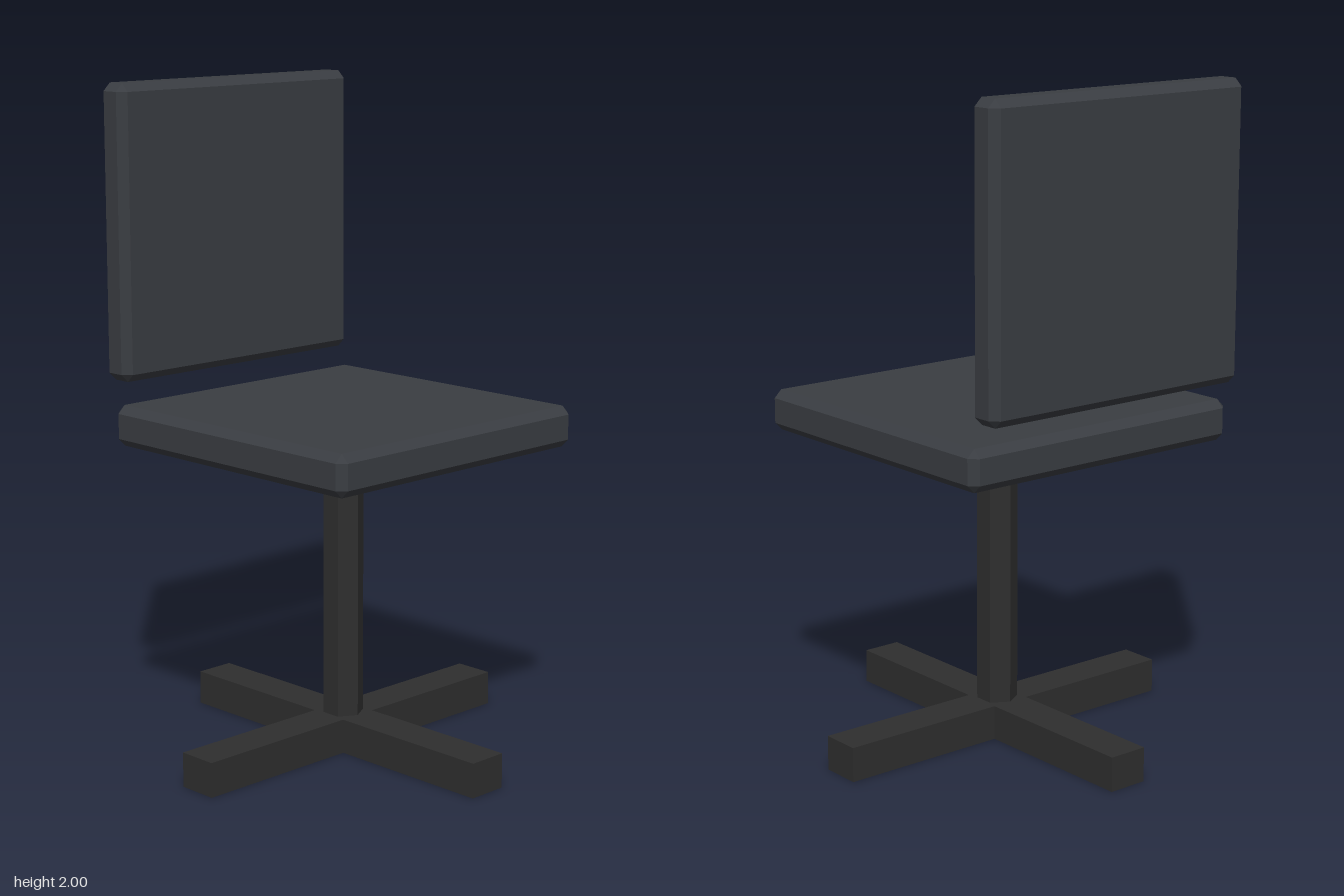
import * as THREE from 'three';
import { ConvexGeometry } from 'three/addons/geometries/ConvexGeometry.js';

// Box with every edge and corner cut flat by a chamfer c
function chamferBox(w, h, d, c) {
  const points = [];
  for (const sx of [-1, 1]) for (const sy of [-1, 1]) for (const sz of [-1, 1]) {
    for (let axis = 0; axis < 3; axis++) {
      const p = [w / 2 - c, h / 2 - c, d / 2 - c];
      p[axis] += c;
      points.push(new THREE.Vector3(sx * p[0], sy * p[1], sz * p[2]));
    }
  }
  return new ConvexGeometry(points);
}

export function createModel() {
  const group = new THREE.Group();
  const padMaterial = new THREE.MeshStandardMaterial({ color: 0x3a3d42, flatShading: true });
  const frameMaterial = new THREE.MeshStandardMaterial({ color: 0x2e2e2e, flatShading: true });

  const add = (name, geometry, material, x, y, z) => {
    const mesh = new THREE.Mesh(geometry, material);
    mesh.name = name;
    mesh.position.set(x, y, z);
    group.add(mesh);
    return mesh;
  };

  // Cushions
  add('seat', chamferBox(0.966, 0.124, 0.966, 0.024), padMaterial, 0, 0.993, 0);
  add('backrest', chamferBox(0.924, 0.88, 0.104, 0.024), padMaterial, 0, 1.56, -0.495);

  // Six-sided column with a corner facing forward
  add('column', new THREE.CylinderGeometry(0.062, 0.062, 0.835, 6), frameMaterial, 0, 0.5225, 0);

  // Cross-shaped foot: three corners per arm, turned four times
  const reach = 0.591, half = 0.062;
  const outline = [];
  for (let i = 0; i < 4; i++) {
    for (const [x, y] of [[reach, -half], [reach, half], [half, half]]) {
      outline.push(new THREE.Vector2(x, y).rotateAround(new THREE.Vector2(), i * Math.PI / 2));
    }
  }
  const crossGeometry = new THREE.ExtrudeGeometry(new THREE.Shape(outline), { depth: 0.105, bevelEnabled: false });
  crossGeometry.rotateX(-Math.PI / 2);
  add('crossFoot', crossGeometry, frameMaterial, 0, 0, 0);

  return group;
}
